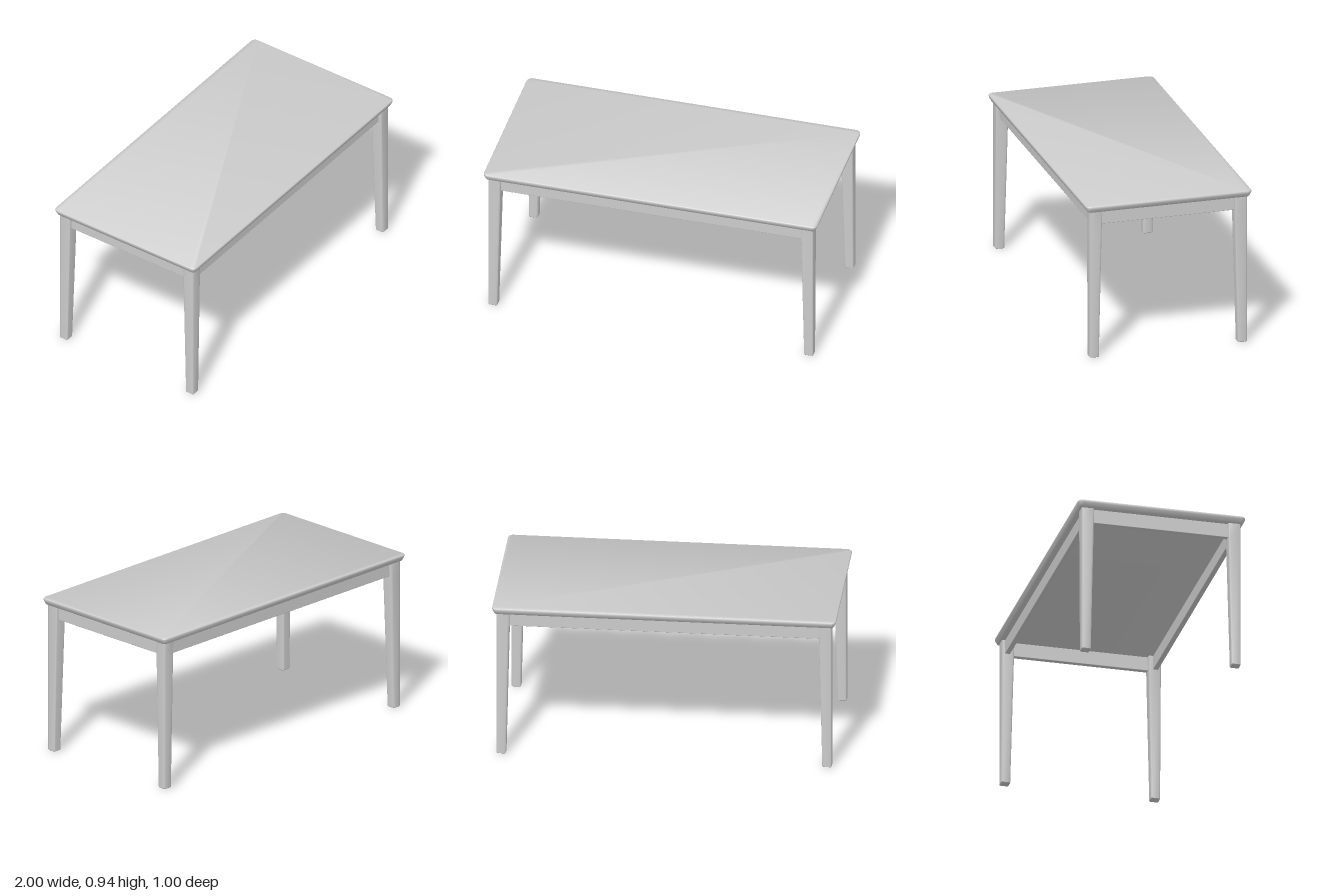
import * as THREE from 'three';
import { toCreasedNormals } from 'three/addons/utils/BufferGeometryUtils.js';
import { RoundedBoxGeometry } from 'three/addons/geometries/RoundedBoxGeometry.js';

const material = new THREE.MeshStandardMaterial({ color: 0xcccccc });

// Rounded rectangle at height y, counter-clockwise seen from above
function ring({ x0, x1, z0, z1, y, r }, steps = 5) {
  const points = [];
  const corners = [[x1 - r, z0 + r], [x0 + r, z0 + r], [x0 + r, z1 - r], [x1 - r, z1 - r]];
  corners.forEach(([cx, cz], c) => {
    for (let i = 0; i <= steps; i++) {
      const a = (c + i / steps) * Math.PI / 2;
      points.push([cx + r * Math.cos(a), y, cz - r * Math.sin(a)]);
    }
  });
  return points;
}

// Skin a stack of sections from bottom to top and cap both ends
function loft(sections, crease) {
  const rings = sections.map((s) => ring(s));
  const n = rings[0].length;
  const position = rings.flat(2);
  const index = [];
  for (let k = 0; k < rings.length - 1; k++) {
    for (let i = 0; i < n; i++) {
      const a = k * n + i, b = k * n + (i + 1) % n;
      index.push(a, b, b + n, a, b + n, a + n);
    }
  }
  const top = (rings.length - 1) * n;
  for (let i = 1; i < n - 1; i++) {
    index.push(0, i + 1, i);
    index.push(top, top + i, top + i + 1);
  }
  const g = new THREE.BufferGeometry();
  g.setAttribute('position', new THREE.Float32BufferAttribute(position, 3));
  g.setIndex(index);
  return toCreasedNormals(g, crease);
}

function add(parent, name, geometry) {
  const mesh = new THREE.Mesh(geometry, material);
  mesh.name = name;
  parent.add(mesh);
  return mesh;
}

export function createModel() {
  const table = new THREE.Group();
  table.name = 'table';

  // Tabletop with a rounded upper edge and an undercut lower edge: [inset, height]
  const edge = [[0.016, 0.9], [0.012, 0.903], [0.001, 0.924], [0, 0.928], [0, 0.935], [0.002, 0.938], [0.005, 0.94]];
  add(table, 'tabletop', loft(edge.map(([inset, y]) => ({
    x0: -1 + inset, x1: 1 - inset, z0: -0.5 + inset, z1: 0.5 - inset, y, r: 0.03 - inset,
  })), 0.7));

  // Legs: outer faces upright, inner faces tapering towards the foot
  const legProfile = [[0, 0.055, 0.004], [0.004, 0.055, 0], [0.81, 0.073, 0], [0.9, 0.075, 0]];
  for (const sx of [1, -1]) {
    for (const sz of [1, -1]) {
      const sections = legProfile.map(([y, width, inset]) => {
        const span = (s, outer) => [s * outer, s * (outer - width)].sort((a, b) => a - b);
        const [x0, x1] = span(sx, 0.975);
        const [z0, z1] = span(sz, 0.475);
        return { x0: x0 + inset, x1: x1 - inset, z0: z0 + inset, z1: z1 - inset, y, r: 0.009 - inset };
      });
      add(table, `${sz > 0 ? 'front' : 'back'}${sx > 0 ? 'Left' : 'Right'}Leg`, loft(sections, 0.7));
    }
  }

  // Aprons between the legs, set back from their outer faces
  const height = 0.087, thickness = 0.03, y = 0.815 + height / 2;
  for (const s of [1, -1]) {
    add(table, s > 0 ? 'frontApron' : 'backApron', new RoundedBoxGeometry(1.84, height, thickness, 2, 0.003))
      .position.set(0, y, s * 0.442);
    add(table, s > 0 ? 'leftApron' : 'rightApron', new RoundedBoxGeometry(thickness, height, 0.84, 2, 0.003))
      .position.set(s * 0.942, y, 0);
  }
  return table;
}
